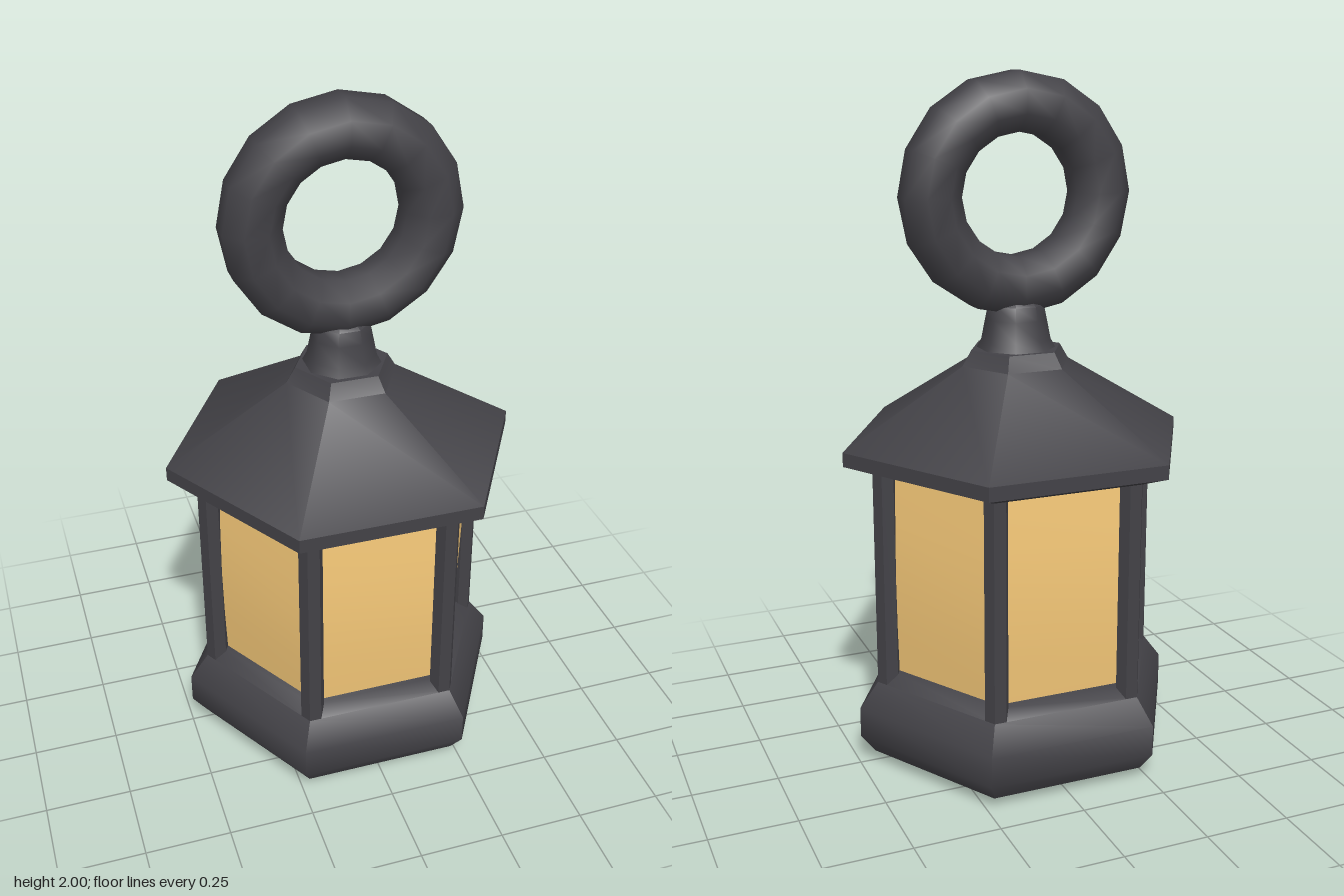
import * as THREE from 'three';
import { mergeVertices, toCreasedNormals } from 'three/addons/utils/BufferGeometryUtils.js';

const iron = new THREE.MeshStandardMaterial({ color: 0x434247 });
const amber = new THREE.MeshStandardMaterial({ color: 0xf5c878 });

// Turned solid with few sides; a corner points to +x. Profile is [radius, y], bottom to top.
function turned(profile, sides, crease = 0.8, start = Math.PI / 2) {
  const pts = profile.map(([r, y]) => new THREE.Vector2(r, y));
  return toCreasedNormals(new THREE.LatheGeometry(pts, sides, start), crease);
}

function add(group, name, geometry, material) {
  const mesh = new THREE.Mesh(geometry, material);
  mesh.name = name;
  group.add(mesh);
  return mesh;
}

export function createModel() {
  const model = new THREE.Group();
  model.name = 'lantern';

  // Hexagonal base with a bevelled rim and a shallow pointed underside
  add(model, 'base', turned([
    [0, 0], [0.455, 0.03], [0.497, 0.085], [0.497, 0.175], [0.44, 0.25], [0.4, 0.28], [0, 0.28],
  ], 6), iron);

  // Slightly bulging glass
  add(model, 'glass', turned([
    [0.38, 0.26], [0.395, 0.42], [0.402, 0.58], [0.395, 0.74], [0.38, 0.91],
  ], 6), amber);

  // Corner posts
  const posts = new THREE.Group();
  posts.name = 'posts';
  model.add(posts);
  const postShape = turned([[0, 0.22], [0.035, 0.22], [0.035, 0.91], [0, 0.91]], 6);
  for (let i = 0; i < 6; i++) {
    const a = (i * Math.PI) / 3;
    const post = add(posts, 'post', postShape, iron);
    post.position.set(0.405 * Math.cos(a), 0, 0.405 * Math.sin(a));
  }

  // Roof with an eave band and a small flat top
  add(model, 'roof', turned([
    [0, 0.89], [0.44, 0.892], [0.525, 0.922], [0.525, 0.963], [0.165, 1.18], [0.138, 1.225], [0, 1.225],
  ], 6), iron);

  // Flared neck below the ring
  add(model, 'neck', turned([
    [0.116, 1.22], [0.1, 1.25], [0.088, 1.31], [0.08, 1.35], [0.055, 1.37], [0, 1.37],
  ], 8, 0.9, Math.PI / 8), iron);

  // Hanging ring with an eight-sided section, flat faces to front and back
  const section = [];
  for (let i = 0; i <= 8; i++) {
    const a = ((i + 0.5) * Math.PI) / 4;
    section.push(new THREE.Vector2(0.256 + 0.089 * Math.cos(a), 0.089 * Math.sin(a)));
  }
  let ring = new THREE.LatheGeometry(section, 16);
  ring.deleteAttribute('uv');
  ring.deleteAttribute('normal');
  ring = mergeVertices(ring, 1e-4);
  ring.computeVertexNormals();
  ring.rotateX(Math.PI / 2);
  add(model, 'hangingRing', ring, iron).position.y = 1.662;

  return model;
}
